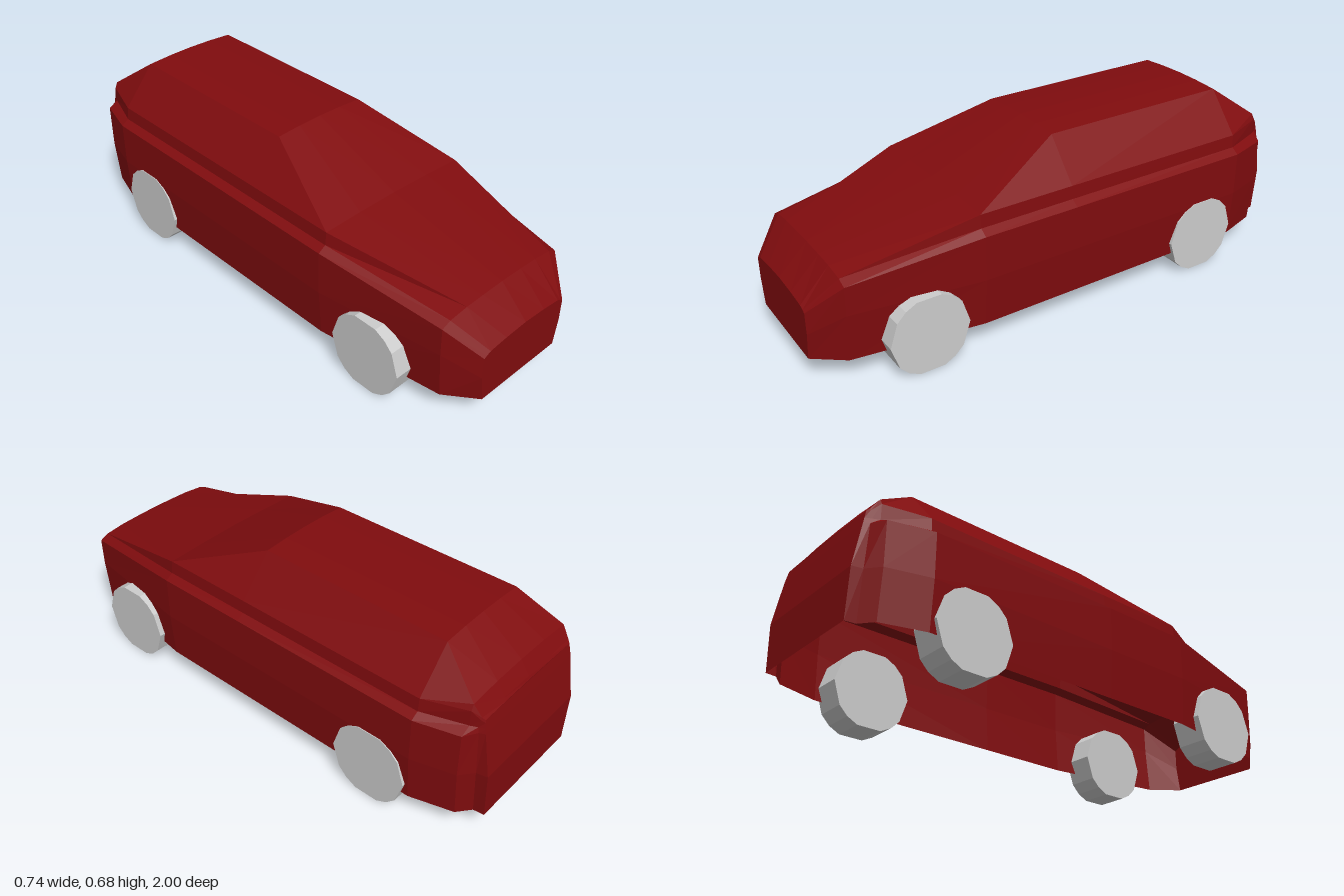
import * as THREE from 'three';

const paint = new THREE.MeshStandardMaterial({ color: 0x800c0e, side: THREE.DoubleSide, flatShading: true });
paint.name = 'red paint';
const grey = new THREE.MeshStandardMaterial({ color: 0xcccccc, flatShading: true });
grey.name = 'wheel grey';

// Half sections from front to back. Each runs from the sill over crease, belt,
// shoulder, window base and roof rail to the centre line: [x, y] or [x, y, z].
const SECTIONS = [
  [1, [[.195, .095], [.21, .2], [.21, .285], [.197, .292], [.18, .30], [.18, .30], [.1, .308], [0, .313]]],
  [.89, [[.28, .095], [.295, .28], [.297, .39], [.26, .406], [.18, .415], [.18, .415], [.1, .418], [0, .42]]],
  [.4, [[.352, .095], [.365, .28], [.365, .45], [.335, .47], [.33, .52], [.33, .52], [.17, .526], [0, .529]]],
  [.02, [[.352, .095], [.365, .28], [.365, .45], [.335, .47], [.33, .52], [.2, .672], [.1, .678], [0, .68]]],
  [-.76, [[.352, .095], [.365, .28], [.365, .45], [.335, .47], [.33, .52], [.2, .672], [.1, .678], [0, .68]]],
  [-.92, [[.305, .095], [.32, .28], [.32, .45], [.28, .47], [.28, .53], [.27, .553], [.14, .563], [0, .566]]],
  [-.96, [[.255, .095], [.27, .28], [.27, .45, -.95], [.268, .47, -.945], [.265, .5, -.95],
    [.262, .51, -.95], [.14, .513, -.953], [0, .515, -.955]]],
  [-1, [[.25, .095], [.262, .28], [.26, .45, -.97], [.258, .47, -.966], [.256, .49, -.962],
    [.255, .5, -.96], [.14, .503, -.96], [0, .505, -.96]]],
];

// Lofted shell, closed at nose and tail and open underneath
function bodyGeometry() {
  const rings = SECTIONS.map(([z, half]) => {
    const left = half.map(([x, y, pz]) => [x, y, pz ?? z]);
    const right = left.slice(0, -1).reverse().map(([x, y, pz]) => [-x, y, pz]);
    return [...left, ...right];
  });
  const pos = [];
  const quad = (a, b, c, d) => pos.push(...a, ...b, ...c, ...a, ...c, ...d);
  const n = rings[0].length;
  for (let j = 0; j < rings.length - 1; j++) {
    for (let i = 0; i < n - 1; i++) {
      quad(rings[j][i], rings[j + 1][i], rings[j + 1][i + 1], rings[j][i + 1]);
    }
  }
  const nose = rings[0], tail = rings[rings.length - 1];
  for (let i = 0; i < (n - 1) / 2; i++) {
    const m = n - 1 - i;
    quad(nose[m], nose[i], nose[i + 1], nose[m - 1]);
    quad(tail[i], tail[m], tail[m - 1], tail[i + 1]);
  }
  const geo = new THREE.BufferGeometry();
  geo.setAttribute('position', new THREE.Float32BufferAttribute(pos, 3));
  geo.computeVertexNormals();
  return geo;
}

// Faceted wheel: ten sides with the four diagonal corners split again
function wheelGeometry() {
  const angles = [0, 36, 54, 72, 108, 126, 144, 180, 216, 234, 252, 288, 306, 324];
  const shape = new THREE.Shape(angles.map((deg) => {
    const a = THREE.MathUtils.degToRad(deg);
    return new THREE.Vector2(Math.cos(a) * .153, Math.sin(a) * .153);
  }));
  const geo = new THREE.ExtrudeGeometry(shape, { depth: .124, bevelEnabled: false });
  return geo.translate(0, 0, -.062).rotateY(Math.PI / 2);
}

export function createModel() {
  const car = new THREE.Group();
  car.name = 'car';

  const body = new THREE.Mesh(bodyGeometry(), paint);
  body.name = 'body';
  car.add(body);

  const geo = wheelGeometry();
  for (const [end, z] of [['front', .625], ['rear', -.595]]) {
    for (const side of [1, -1]) {
      const wheel = new THREE.Mesh(geo, grey);
      wheel.name = end + (side > 0 ? 'LeftWheel' : 'RightWheel');
      wheel.position.set(side * .306, .146, z);
      car.add(wheel);
    }
  }
  return car;
}
